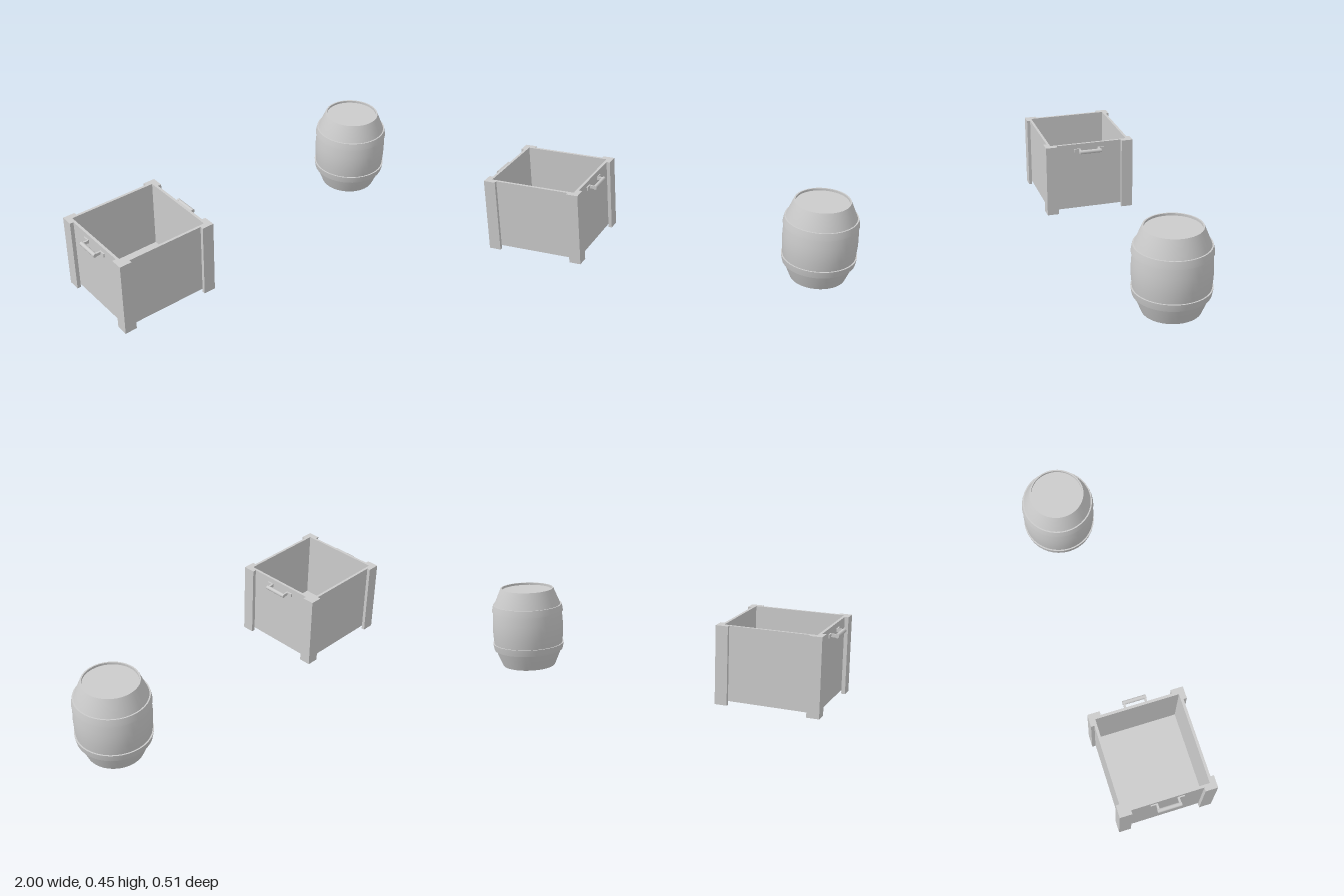
import * as THREE from 'three';

const material = new THREE.MeshStandardMaterial({ color: 0xcccccc });
const V = (x, y) => new THREE.Vector2(x, y);

function add(parent, name, geometry, x = 0, y = 0, z = 0) {
  const mesh = new THREE.Mesh(geometry, material);
  mesh.name = name;
  mesh.position.set(x, y, z);
  parent.add(mesh);
  return mesh;
}

// Upright prism from a plan outline
function prism(shape, height) {
  const g = new THREE.ExtrudeGeometry(shape, { depth: height, bevelEnabled: false });
  return g.rotateX(-Math.PI / 2);
}

function rect(w, d) {
  return [V(-w, -d), V(w, -d), V(w, d), V(-w, d)];
}

function createCrate() {
  const crate = new THREE.Group();
  crate.name = 'crate';
  const top = 0.41, base = 0.02, w = 0.253, d = 0.236, wall = 0.014;

  // Open box
  const ring = new THREE.Shape(rect(w, d));
  ring.holes.push(new THREE.Path(rect(w - wall, d - wall)));
  add(crate, 'crateWalls', prism(ring, top - base), 0, base, 0);
  add(crate, 'crateFloor', new THREE.BoxGeometry(2 * (w - wall), wall, 2 * (d - wall)), 0, base + wall / 2, 0);

  for (const sx of [-1, 1]) {
    // L-shaped corner posts, wrapped around the outside of the walls
    for (const sz of [-1, 1]) {
      const X = 0.273, Z = 0.254, leg = 0.065;
      const outline = [[X, Z], [X - leg, Z], [X - leg, d], [w, d], [w, Z - leg], [X, Z - leg]];
      const shape = new THREE.Shape(outline.map(([x, z]) => V(x * sx, z * sz)));
      add(crate, 'cornerPost', prism(shape, top));
    }

    // Carrying handle: bar, two stems and two mounting plates
    const handle = new THREE.Group();
    handle.name = 'handle';
    handle.position.y = 0.372;
    crate.add(handle);
    const bar = new THREE.CylinderGeometry(0.011, 0.011, 0.126, 12).rotateX(Math.PI / 2);
    add(handle, 'handleBar', bar, sx * 0.289);
    for (const sz of [-1, 1]) {
      add(handle, 'handleStem', new THREE.BoxGeometry(0.034, 0.016, 0.01), sx * 0.268, 0, sz * 0.056);
      add(handle, 'handlePlate', new THREE.BoxGeometry(0.007, 0.02, 0.036), sx * 0.256, 0, sz * 0.07);
    }
  }
  return crate;
}

function createBarrel() {
  const barrel = new THREE.Group();
  barrel.name = 'barrel';
  const segments = 40, bottom = 0.006, top = 0.446, mid = (bottom + top) / 2;
  const lathe = (points) => new THREE.LatheGeometry(points.map(([r, y]) => V(r, y)), segments);

  // Bulging staves
  const half = [[0.1465, 0.22], [0.184, 0.129], [0.191, 0.088]];
  const profile = [
    ...half.map(([r, h]) => [r, mid - h]),
    [0.1955, mid - 0.04], [0.197, mid], [0.1955, mid + 0.04],
    ...half.slice().reverse().map(([r, h]) => [r, mid + h]),
  ];
  add(barrel, 'staves', lathe(profile));

  for (const s of [-1, 1]) {
    // Narrow rim, its inner wall and the recessed end
    const end = new THREE.Group();
    end.name = s > 0 ? 'barrelTop' : 'barrelBottom';
    end.position.y = mid;
    if (s < 0) end.rotation.x = Math.PI;
    barrel.add(end);
    add(end, 'rim', lathe([[0.1465, 0.22], [0.139, 0.22]]));
    add(end, 'rimInside', lathe([[0.139, 0.22], [0.139, 0.208]]));
    add(end, 'endDisc', lathe([[0.139, 0.208], [0, 0.208]]));

    // Sloping hoop with crisp edges
    const hoop = new THREE.Group();
    hoop.name = 'hoop';
    hoop.position.y = mid;
    if (s < 0) hoop.rotation.x = Math.PI;
    barrel.add(hoop);
    add(hoop, 'hoopFace', lathe([[0.198, 0.091], [0.1955, 0.108], [0.191, 0.129]]));
    add(hoop, 'hoopUpperEdge', lathe([[0.191, 0.129], [0.182, 0.129]]));
    add(hoop, 'hoopLowerEdge', lathe([[0.188, 0.091], [0.198, 0.091]]));
  }
  return barrel;
}

export function createModel() {
  const model = new THREE.Group();
  model.name = 'crateAndBarrel';
  const crate = createCrate();
  crate.position.x = -0.7;
  const barrel = createBarrel();
  barrel.position.set(0.8, 0, -0.056);
  model.add(crate, barrel);
  return model;
}
